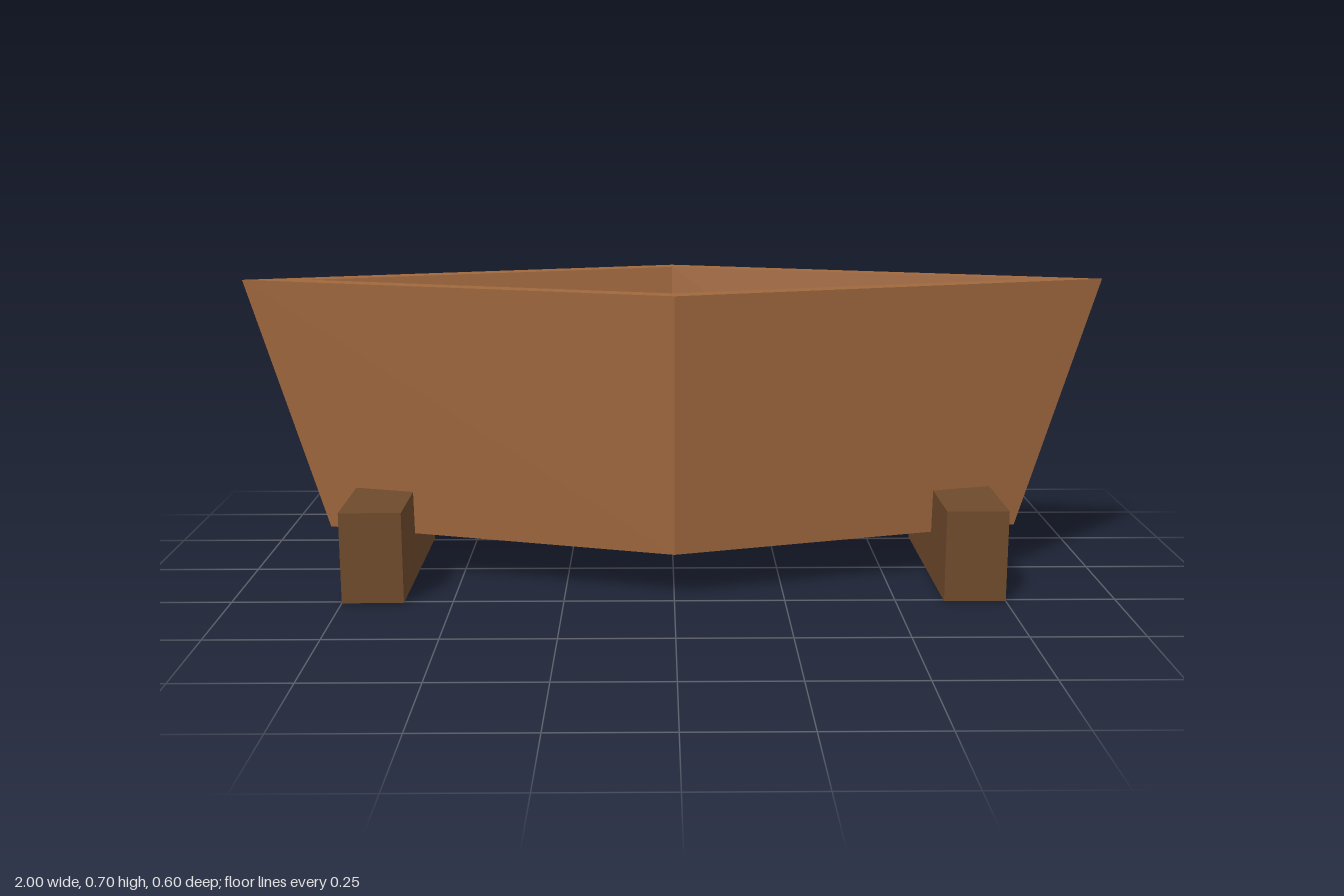
import * as THREE from 'three';

export function createModel() {
  const model = new THREE.Group();
  model.name = 'troughOnBlocks';

  const lightWood = new THREE.MeshStandardMaterial({ color: 0xa0683e });
  lightWood.name = 'light wood';
  const darkWood = new THREE.MeshStandardMaterial({ color: 0x6f4a2c });
  darkWood.name = 'dark wood';

  // Hollow diamond hull: underside, outer wall, rim, inner wall, floor
  const profile = [
    [0, 0.107], [0.82, 0.107], [1, 0.7], [0.84, 0.7], [0.69, 0.213], [0, 0.213],
  ].map(([r, y]) => new THREE.Vector2(r, y));
  const hullGeometry = new THREE.LatheGeometry(profile, 4).scale(1, 1, 0.3).toNonIndexed();
  hullGeometry.computeVertexNormals();
  const hull = new THREE.Mesh(hullGeometry, lightWood);
  hull.name = 'hull';
  model.add(hull);

  // Support blocks that the pointed ends rest in
  for (const side of [1, -1]) {
    const block = new THREE.Mesh(new THREE.BoxGeometry(0.14, 0.21, 0.52), darkWood);
    block.name = side > 0 ? 'leftSupport' : 'rightSupport';
    block.position.set(side * 0.68, 0.105, 0);
    model.add(block);
  }

  return model;
}
